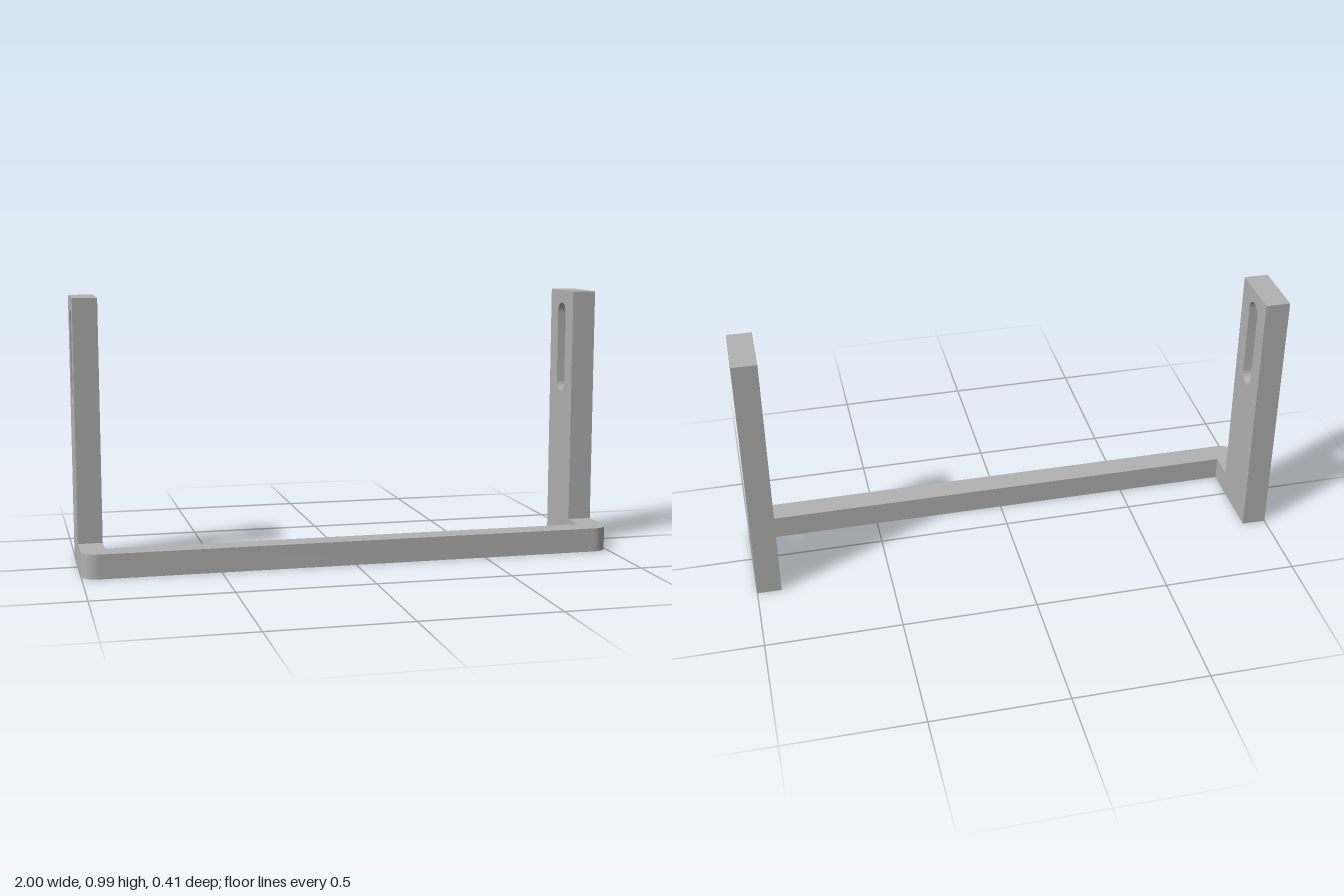
import * as THREE from 'three';
import { toCreasedNormals } from 'three/addons/utils/BufferGeometryUtils.js';

const T = 0.09;              // bar thickness
const BACK = -0.207, FRONT = 0.207;
const HEIGHT = 0.985;

const extrude = (shape, depth) =>
  new THREE.ExtrudeGeometry(shape, { depth, bevelEnabled: false, curveSegments: 16 });

// U-shaped bar lying flat, outer front corners rounded, inner corners sharp
function baseGeometry() {
  const r = 0.06, f = -FRONT, b = -BACK, i = 1 - T;
  const s = new THREE.Shape();
  s.moveTo(-1, b);
  s.lineTo(-1, f + r);
  s.absarc(-1 + r, f + r, r, Math.PI, Math.PI * 1.5, false);
  s.lineTo(1 - r, f);
  s.absarc(1 - r, f + r, r, -Math.PI / 2, 0, false);
  s.lineTo(1, b);
  s.lineTo(i, b);
  s.lineTo(i, f + T);
  s.lineTo(-i, f + T);
  s.lineTo(-i, b);
  s.closePath();
  return toCreasedNormals(extrude(s, T).rotateX(-Math.PI / 2), 0.5);
}

// Upright plate with a vertical slot, drawn in (z, y) and extruded across x
function uprightGeometry() {
  const z1 = 0.018, zc = (BACK + z1) / 2, r = 0.039, lo = 0.627, hi = 0.897;
  const s = new THREE.Shape();
  s.moveTo(BACK, T);
  s.lineTo(z1, T);
  s.lineTo(z1, HEIGHT);
  s.lineTo(BACK, HEIGHT);
  s.closePath();
  const slot = new THREE.Path();
  slot.moveTo(zc + r, lo);
  slot.lineTo(zc + r, hi);
  slot.absarc(zc, hi, r, 0, Math.PI, false);
  slot.lineTo(zc - r, lo);
  slot.absarc(zc, lo, r, Math.PI, Math.PI * 2, false);
  s.holes.push(slot);
  return toCreasedNormals(extrude(s, T).rotateY(-Math.PI / 2), 0.5);
}

export function createModel() {
  const group = new THREE.Group();
  group.name = 'slottedBracket';
  const grey = new THREE.MeshStandardMaterial({ color: 0xb2b2b2 });
  grey.name = 'plain grey';

  const base = new THREE.Mesh(baseGeometry(), grey);
  base.name = 'baseBar';
  group.add(base);

  const geometry = uprightGeometry();
  for (const [name, x] of [['leftUpright', 1], ['rightUpright', -1 + T]]) {
    const upright = new THREE.Mesh(geometry, grey);
    upright.name = name;
    upright.position.x = x;
    group.add(upright);
  }
  return group;
}
